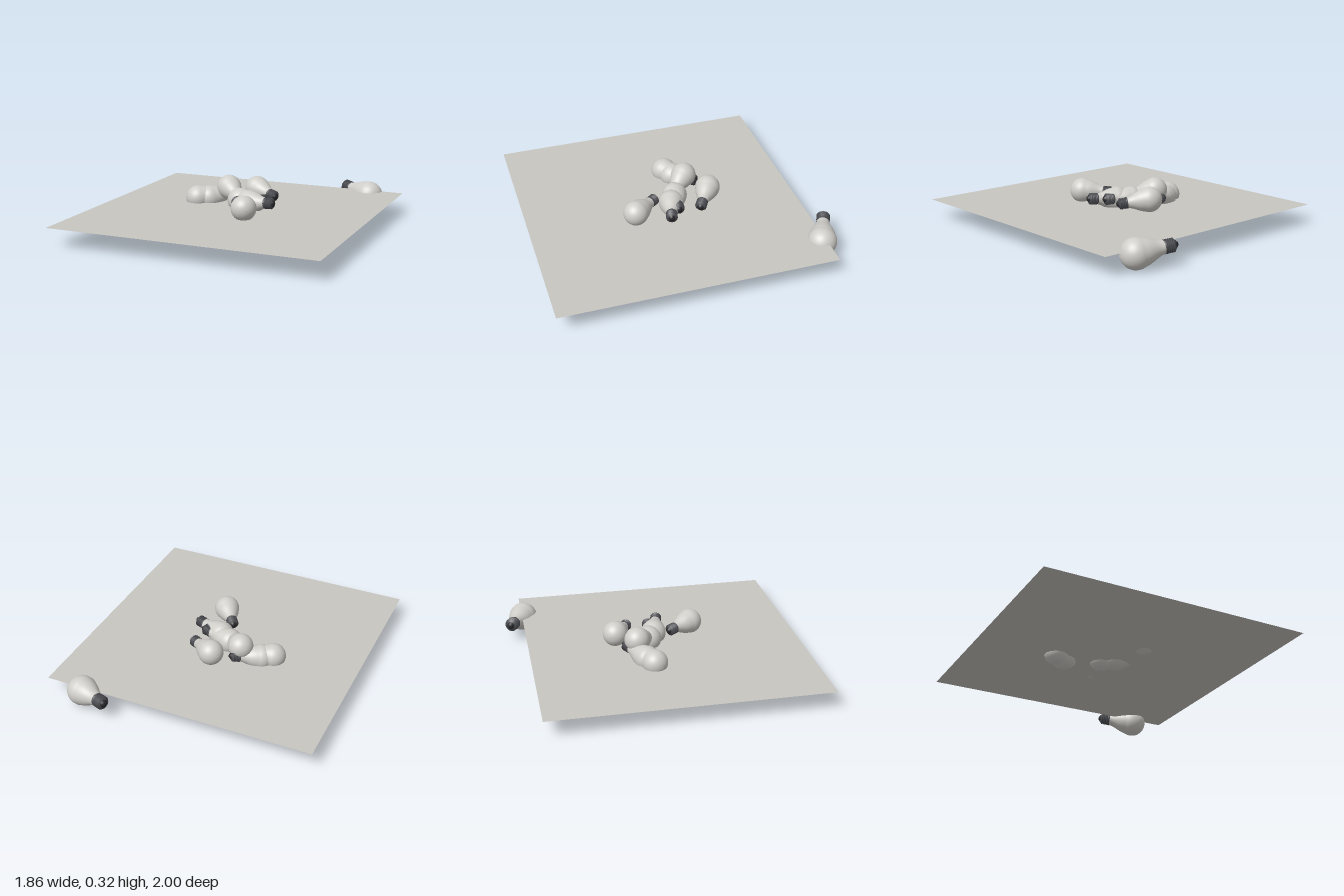
import * as THREE from 'three';

const glassMat = new THREE.MeshStandardMaterial({ color: 0xd0cec9 });
glassMat.name = 'frosted glass';
const metalMat = new THREE.MeshStandardMaterial({ color: 0x4a4b50 });
metalMat.name = 'dark metal';
const insulatorMat = new THREE.MeshStandardMaterial({ color: 0x2a2a2d });
insulatorMat.name = 'black insulator';
const groundMat = new THREE.MeshStandardMaterial({ color: 0xc8c6c0, side: THREE.DoubleSide });
groundMat.name = 'pale sheet';

// Bulb axis is +y, with the globe centre at the origin
const R = 0.1;
const END = -0.265;

function glassGeometry() {
  const pts = [];
  const neck = new THREE.CubicBezierCurve(
    new THREE.Vector2(0.042, -0.182), new THREE.Vector2(0.046, -0.13),
    new THREE.Vector2(0.0766, -0.105), new THREE.Vector2(0.0906, -0.0423));
  pts.push(new THREE.Vector2(0.036, -0.19), ...neck.getPoints(12));
  for (let i = 1; i <= 18; i++) {
    const a = -0.4363 + (Math.PI / 2 + 0.4363) * i / 18;
    pts.push(new THREE.Vector2(i === 18 ? 0 : R * Math.cos(a), R * Math.sin(a)));
  }
  return new THREE.LatheGeometry(pts, 36);
}

// Screw base: rounded threads between a collar and a tapered end
function baseGeometry() {
  const pts = [[0.022, -0.252], [0.036, -0.243]];
  const turns = 4, steps = 6;
  for (let i = 0; i <= turns * steps; i++) {
    const t = i / (turns * steps);
    pts.push([0.0425 - 0.0035 * Math.cos(t * turns * Math.PI * 2), -0.241 + 0.05 * t]);
  }
  pts.push([0.045, -0.19], [0.045, -0.178], [0.04, -0.176]);
  return new THREE.LatheGeometry(pts.map(p => new THREE.Vector2(...p)), 32);
}

function contactGeometry() {
  const pts = [[0, END], [0.012, END + 0.001], [0.016, END + 0.006], [0.026, -0.251], [0.026, -0.248]];
  return new THREE.LatheGeometry(pts.map(p => new THREE.Vector2(...p)), 24);
}

export function createModel() {
  const model = new THREE.Group();
  model.name = 'scatteredBulbs';
  const glass = glassGeometry(), base = baseGeometry(), contact = contactGeometry();
  const nub = new THREE.SphereGeometry(0.007, 12, 8);

  const add = (parent, name, geo, mat) => {
    const m = new THREE.Mesh(geo, mat);
    m.name = name;
    parent.add(m);
    return m;
  };

  // Flat sheet cutting through the lower part of the bulbs
  const sheet = add(model, 'groundSheet', new THREE.PlaneGeometry(1.86, 1.87), groundMat);
  sheet.rotation.x = -Math.PI / 2;
  sheet.position.set(0, 0.132, 0.065);

  // Each bulb: name, globe centre, point where the screw base ends, scale
  const bulbs = [
    ['strayBulb', [0.678, 0.1, -0.857], [0.45, 0.137, -0.965], 1],
    ['frontBulb', [0.145, 0.203, 0.278], [0.02, 0.2, 0.105], 0.86],
    ['backBulb', [0.018, 0.215, -0.273], [0.21, 0.19, -0.155], 0.86],
    ['rightBulb', [0.065, 0.176, 0.005], [0.275, 0.2, 0.065], 0.86],
    ['middleBulb', [-0.02, 0.173, -0.045], [0.21, 0.2, -0.01], 0.86],
    ['leftInnerBulb', [-0.28, 0.155, -0.105], [-0.105, 0.195, -0.235], 0.86],
    ['leftOuterBulb', [-0.352, 0.158, -0.066], [-0.15, 0.195, -0.17], 0.86],
    ['topBulb', [-0.147, 0.235, -0.15], [0.01, 0.18, 0], 0.86],
  ];
  const up = new THREE.Vector3(0, 1, 0);
  for (const [name, centre, end, scale] of bulbs) {
    const bulb = new THREE.Group();
    bulb.name = name;
    add(bulb, 'glassGlobe', glass, glassMat);
    add(bulb, 'screwBase', base, metalMat);
    add(bulb, 'contactTip', contact, insulatorMat);
    add(bulb, 'globeNub', nub, glassMat).position.y = R - 0.004;
    bulb.position.set(...centre);
    const axis = new THREE.Vector3(...centre).sub(new THREE.Vector3(...end)).normalize();
    bulb.quaternion.setFromUnitVectors(up, axis);
    bulb.scale.setScalar(scale);
    model.add(bulb);
  }
  return model;
}
